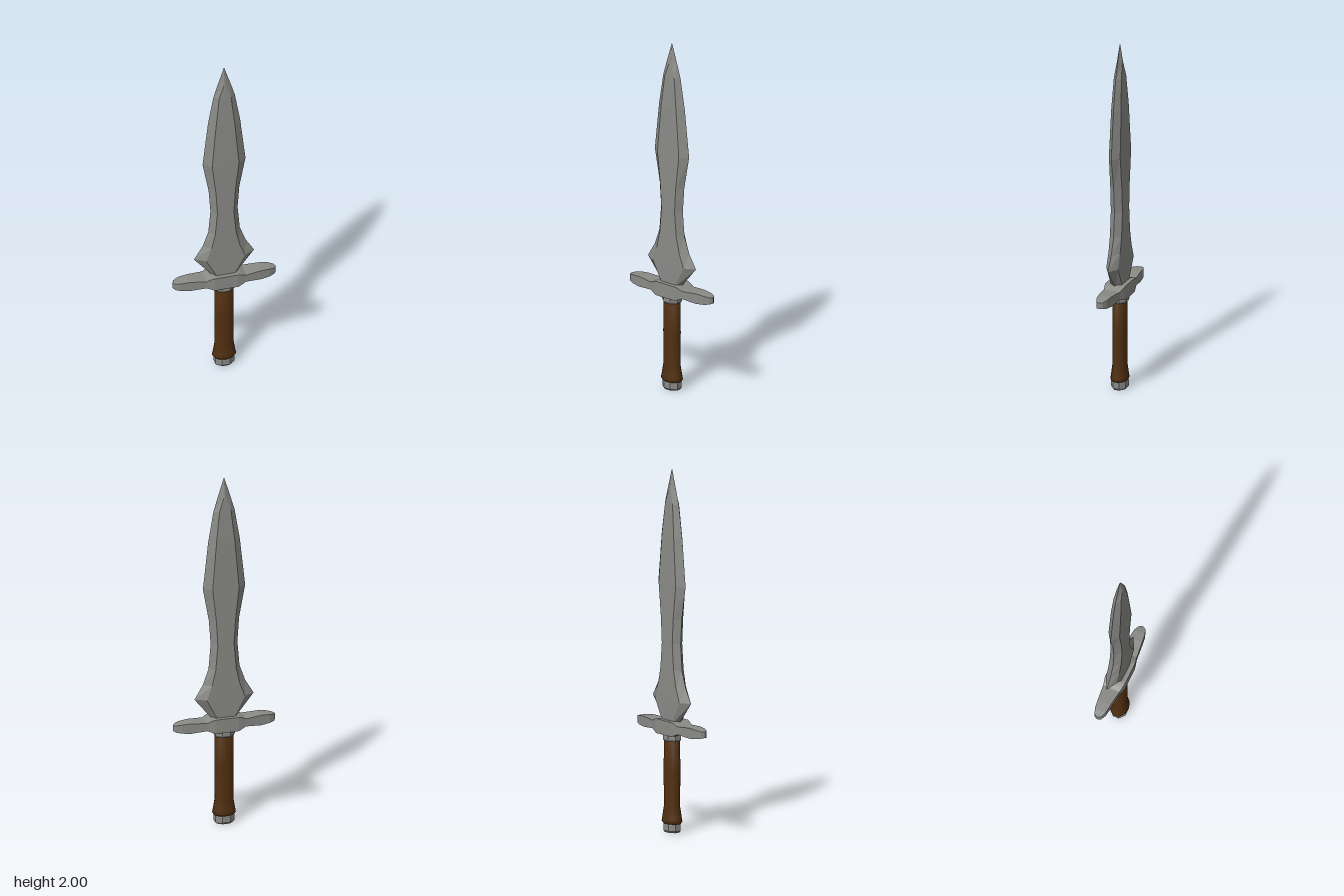
import * as THREE from 'three';

const metal = new THREE.MeshStandardMaterial({ color: 0x8a8a87 });
metal.name = 'steel';
const leather = new THREE.MeshStandardMaterial({ color: 0x512f10 });
leather.name = 'brown leather';

// Faceted solid through a list of equal-length rings, closed at both ends
function loft(rings) {
  const pos = [];
  const tri = (a, b, c) => pos.push(...a, ...b, ...c);
  const n = rings[0].length;
  for (let i = 0; i < rings.length - 1; i++) {
    const r = rings[i], s = rings[i + 1];
    for (let j = 0; j < n; j++) {
      const k = (j + 1) % n;
      tri(r[j], r[k], s[k]);
      tri(r[j], s[k], s[j]);
    }
  }
  const first = rings[0], last = rings[rings.length - 1];
  for (let j = 1; j < n - 1; j++) {
    tri(first[0], first[j + 1], first[j]);
    tri(last[0], last[j], last[j + 1]);
  }
  const g = new THREE.BufferGeometry();
  g.setAttribute('position', new THREE.Float32BufferAttribute(pos, 3));
  g.computeVertexNormals();
  return g;
}

// Flattened octagonal block; profile rows are [half width, half depth, y]
function octagonBlock(profile) {
  return loft(profile.map(([w, d, y]) => Array.from({ length: 8 }, (_, i) => {
    const a = (i + 0.5) * Math.PI / 4, k = 1 / Math.cos(Math.PI / 8);
    return [Math.sin(a) * w * k, y, Math.cos(a) * d * k];
  })));
}

export function createModel() {
  const group = new THREE.Group();
  const add = (name, geometry, material) => {
    const mesh = new THREE.Mesh(geometry, material);
    mesh.name = name;
    group.add(mesh);
  };

  // Leaf-shaped blade: [y, half width at edge, half width of flat, half thickness]
  const blade = [
    [0.6, 0.062, 0.04, 0.033], [0.73, 0.168, 0.108, 0.034], [0.81, 0.12, 0.078, 0.034],
    [0.9, 0.088, 0.058, 0.034], [1.04, 0.076, 0.046, 0.034], [1.18, 0.086, 0.054, 0.034],
    [1.365, 0.12, 0.075, 0.033], [1.635, 0.09, 0.052, 0.029], [1.81, 0.06, 0.033, 0.022],
    [1.89, 0.036, 0.006, 0.016], [2, 0.001, 0.0005, 0.0005],
  ];
  add('blade', loft(blade.map(([y, w, v, t]) => [
    [-v, y, t], [v, y, t], [w, y, 0], [v, y, -t], [-v, y, -t], [-w, y, 0],
  ])), metal);

  // Crossguard, mirrored: [x, bottom y, top y, half depth]
  const half = [
    [0.065, 0.54, 0.62, 0.058], [0.085, 0.548, 0.614, 0.054], [0.11, 0.558, 0.602, 0.048],
    [0.2, 0.55, 0.608, 0.038], [0.25, 0.555, 0.604, 0.032], [0.278, 0.56, 0.598, 0.02],
    [0.288, 0.563, 0.596, 0.004],
  ];
  const guard = [...half.map(([x, ...r]) => [-x, ...r]).reverse(), ...half];
  add('crossguard', loft(guard.map(([x, y0, y1, z]) => [
    [x, y1, z], [x, y0, z], [x, y0, -z], [x, y1, -z],
  ])), metal);

  // Collar under the guard
  add('collar', octagonBlock([[0.05, 0.04, 0.505], [0.055, 0.045, 0.515], [0.055, 0.045, 0.545]]), metal);

  // Leather grip with a flared foot
  const profile = [[0, 0.048], [0.058, 0.048], [0.066, 0.06], [0.063, 0.075], [0.052, 0.14], [0.053, 0.33], [0.052, 0.51], [0, 0.51]]
    .map(([r, y]) => new THREE.Vector2(r, y));
  const grip = new THREE.LatheGeometry(profile, 16);
  grip.scale(1, 1, 0.74);
  add('grip', grip, leather);

  // Pommel cap
  add('pommel', octagonBlock([[0.046, 0.035, 0], [0.053, 0.042, 0.01], [0.053, 0.042, 0.043], [0.05, 0.039, 0.052]]), metal);

  return group;
}
